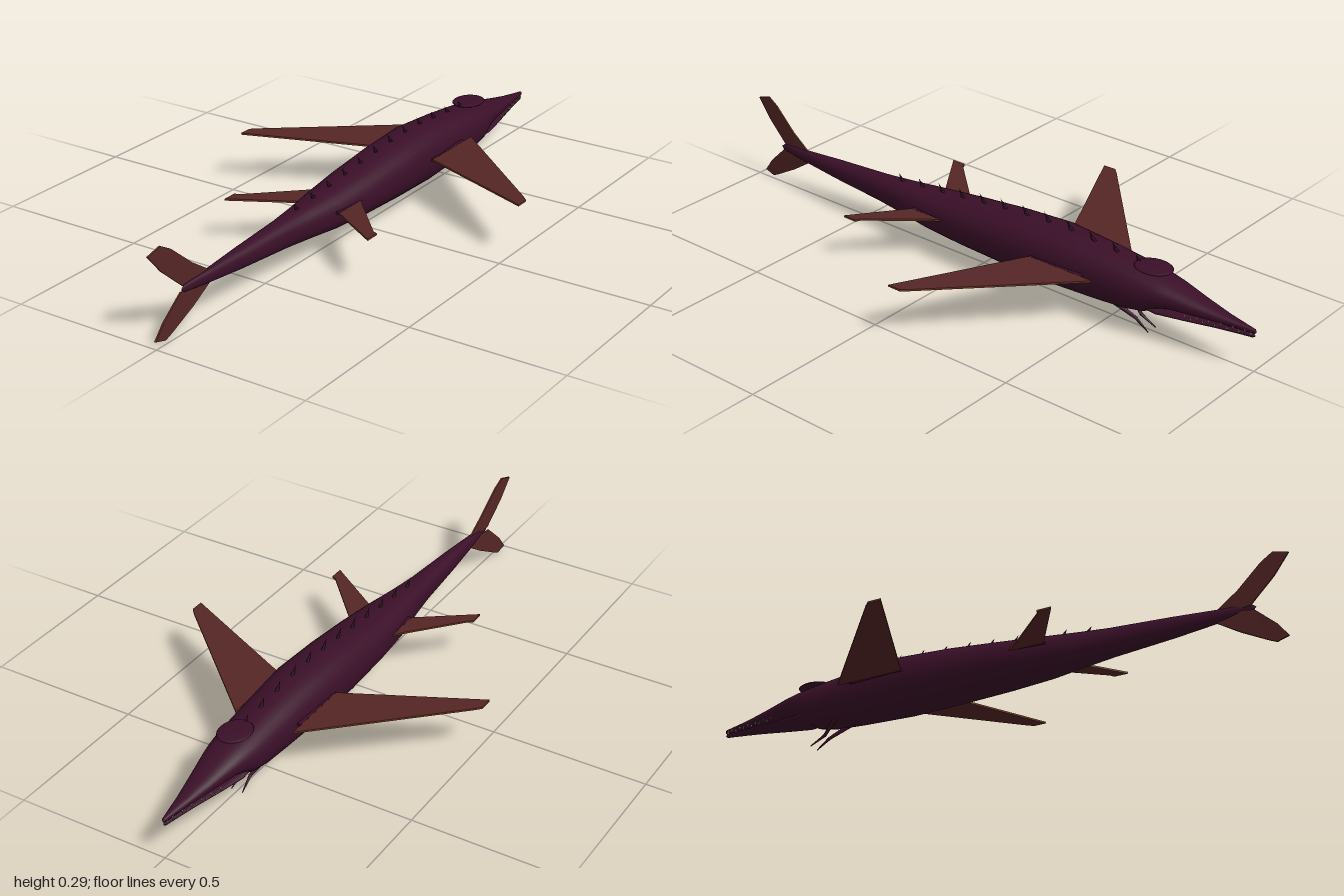
import * as THREE from 'three';

const mat = (name, color, opts = {}) => {
  const m = new THREE.MeshStandardMaterial({ color, ...opts });
  m.name = name;
  return m;
};

// Closed skin through sections [z, halfWidth, bottom, top], z increasing
function loft(sections, power = 2.3, sides = 28) {
  const pos = [], idx = [];
  const bend = (v) => Math.sign(v) * Math.pow(Math.abs(v), 2 / power);
  for (const [z, w, b, t] of sections) {
    for (let j = 0; j < sides; j++) {
      const a = (j / sides) * Math.PI * 2;
      pos.push(w * bend(Math.cos(a)), (b + t) / 2 + ((t - b) / 2) * bend(Math.sin(a)), z);
    }
  }
  for (let i = 0; i < sections.length - 1; i++) {
    for (let j = 0; j < sides; j++) {
      const a = i * sides + j, b = i * sides + ((j + 1) % sides);
      idx.push(a, b, a + sides, b, b + sides, a + sides);
    }
  }
  const g = new THREE.BufferGeometry();
  g.setAttribute('position', new THREE.Float32BufferAttribute(pos, 3));
  g.setIndex(idx);
  g.computeVertexNormals();
  return g;
}

// Thin plate from an outline, centred on its own plane
function plate(points, depth) {
  const shape = new THREE.Shape(points.map(([x, y]) => new THREE.Vector2(x, y)));
  return new THREE.ExtrudeGeometry(shape, { depth, bevelEnabled: false }).translate(0, 0, -depth / 2);
}

function moveVertices(g, rule) {
  const p = g.attributes.position, v = new THREE.Vector3();
  for (let i = 0; i < p.count; i++) {
    rule(v.fromBufferAttribute(p, i));
    p.setXYZ(i, v.x, v.y, v.z);
  }
  g.computeVertexNormals();
  return g;
}

export function createModel() {
  const group = new THREE.Group();
  const skin = mat('dark plum skin', 0x3a0f28);
  const fin = mat('rust brown fin', 0x562626);
  const rim = mat('fin rim', 0x6a341e);
  const spine = mat('dark spine', 0x260a1a);
  const ivory = mat('ivory tooth', 0xd2c6b4);

  const add = (name, geometry, material, parent = group) => {
    const m = new THREE.Mesh(geometry, material);
    m.name = name;
    parent.add(m);
    return m;
  };
  const addGroup = (name) => {
    const g = new THREE.Group();
    g.name = name;
    group.add(g);
    return g;
  };

  // Body and upper jaw, from snout to tail tip
  const body = [
    [-1, 0, 0.128, 0.128], [-0.995, 0.005, 0.124, 0.138], [-0.9, 0.023, 0.123, 0.15],
    [-0.82, 0.04, 0.12, 0.165], [-0.72, 0.061, 0.113, 0.188], [-0.68, 0.069, 0.1, 0.196],
    [-0.64, 0.077, 0.076, 0.203], [-0.58, 0.082, 0.064, 0.211], [-0.48, 0.087, 0.057, 0.222],
    [-0.3, 0.097, 0.051, 0.235], [-0.12, 0.094, 0.054, 0.224], [0.05, 0.087, 0.06, 0.207],
    [0.2, 0.073, 0.067, 0.192], [0.32, 0.053, 0.077, 0.182], [0.42, 0.041, 0.086, 0.174],
    [0.62, 0.027, 0.1, 0.164], [0.76, 0.015, 0.113, 0.155], [0.87, 0.005, 0.126, 0.148],
    [0.885, 0, 0.137, 0.137],
  ];
  add('body', loft(body), skin);

  // Interpolates one column of the body table at a given z
  const bodyAt = (z, col) => {
    const i = body.findIndex((s) => s[0] >= z);
    const a = body[i - 1], b = body[i];
    return a[col] + ((b[col] - a[col]) * (z - a[0])) / (b[0] - a[0]);
  };

  // Lower jaw
  add('lowerJaw', loft([
    [-0.998, 0, 0.116, 0.116], [-0.99, 0.005, 0.11, 0.123], [-0.88, 0.024, 0.104, 0.12],
    [-0.78, 0.042, 0.097, 0.114], [-0.69, 0.057, 0.09, 0.113], [-0.62, 0.058, 0.092, 0.13],
    [-0.61, 0, 0.11, 0.11],
  ]), skin);

  // Flat shield on the head
  add('headShield', new THREE.SphereGeometry(1, 28, 12).scale(0.05, 0.007, 0.062), skin)
    .position.set(0, 0.213, -0.642);

  // Teeth along both jaws
  const teeth = addGroup('teeth');
  const toothGeo = new THREE.ConeGeometry(0.0028, 0.011, 5);
  for (const side of [-1, 1]) {
    for (let i = 0; i < 12; i++) {
      const z = -0.985 + i * 0.018;
      const t = add('tooth', toothGeo, ivory, teeth);
      t.position.set(side * bodyAt(z, 1) * 0.97, 0.126 - i * 0.0006, z);
      if (i % 2) t.rotation.z = Math.PI;
    }
  }

  // Row of backswept spines down the back
  const spines = addGroup('backSpines');
  for (let i = 0; i < 12; i++) {
    const z = 0.345 - i * 0.0845;
    const h = 0.032 + 0.008 * Math.sin((i / 11) * Math.PI);
    const s = add('backSpine', new THREE.ConeGeometry(0.009, h, 8).scale(0.6, 1, 1), spine, spines);
    s.position.set(0, bodyAt(z, 3) + h * 0.28, z);
    s.rotation.x = 0.6;
  }

  // Paired swept fins: outline in x and z, rising towards the tip
  const pairedFin = (name, outline, rootY, rise) => {
    const rootX = outline[0][0], z0 = outline[0][1], z1 = outline[outline.length - 1][1];
    for (const side of [1, -1]) {
      const g = plate(outline.map(([x, z]) => [side * x, z]), 0.006).rotateX(Math.PI / 2);
      moveVertices(g, (v) => { v.y += rootY + (Math.abs(v.x) - rootX) * rise; });
      const label = (side > 0 ? 'left' : 'right') + name;
      add(label, g, [fin, rim]);
      const length = (z1 - z0) * 0.82;
      add(label + 'Root', new THREE.BoxGeometry(0.03, 0.007, length), skin)
        .position.set(side * (rootX - 0.014), rootY, z1 - length / 2);
    }
  };
  pairedFin('FrontFin', [[0.1, -0.495], [0.5, -0.137], [0.518, -0.118], [0.518, -0.074], [0.1, -0.26]], 0.154, 0.034);
  pairedFin('HindFin', [[0.078, 0.108], [0.1, 0.14], [0.245, 0.296], [0.26, 0.302], [0.26, 0.35], [0.078, 0.23]], 0.144, 0.04);

  // Tail flukes: outline in z and y, curling slightly to one side
  const fluke = (name, outline) => {
    const g = plate(outline, 0.005).rotateY(-Math.PI / 2);
    moveVertices(g, (v) => { v.x -= 0.085 * Math.max(0, v.z - 0.78); });
    add(name, g, [fin, rim]);
  };
  fluke('upperTailFluke', [[0.75, 0.145], [0.83, 0.2], [0.91, 0.27], [0.95, 0.293], [1, 0.277], [0.95, 0.215], [0.87, 0.142], [0.8, 0.135]]);
  fluke('lowerTailFluke', [[0.75, 0.118], [0.83, 0.066], [0.92, 0.016], [0.945, 0.004], [0.985, 0.014], [0.95, 0.06], [0.88, 0.125], [0.8, 0.132]]);

  // Small bent forelimbs under the throat, tapering to the tip
  for (const side of [1, -1]) {
    const limb = addGroup(side > 0 ? 'leftForelimb' : 'rightForelimb');
    const joints = [[0.04, 0.075, -0.535], [0.014, 0.032, -0.595], [0.019, 0.003, -0.645]]
      .map(([x, y, z]) => new THREE.Vector3(side * x, y, z));
    const radii = [0.008, 0.005, 0.0015];
    for (let i = 0; i < 2; i++) {
      const dir = joints[i + 1].clone().sub(joints[i]);
      const m = add(i ? 'lowerLimb' : 'upperLimb',
        new THREE.CylinderGeometry(radii[i + 1], radii[i], dir.length(), 8), skin, limb);
      m.position.copy(joints[i]).addScaledVector(dir, 0.5);
      m.quaternion.setFromUnitVectors(new THREE.Vector3(0, 1, 0), dir.normalize());
    }
    add('elbow', new THREE.SphereGeometry(0.0055, 8, 6), skin, limb).position.copy(joints[1]);
  }

  return group;
}
